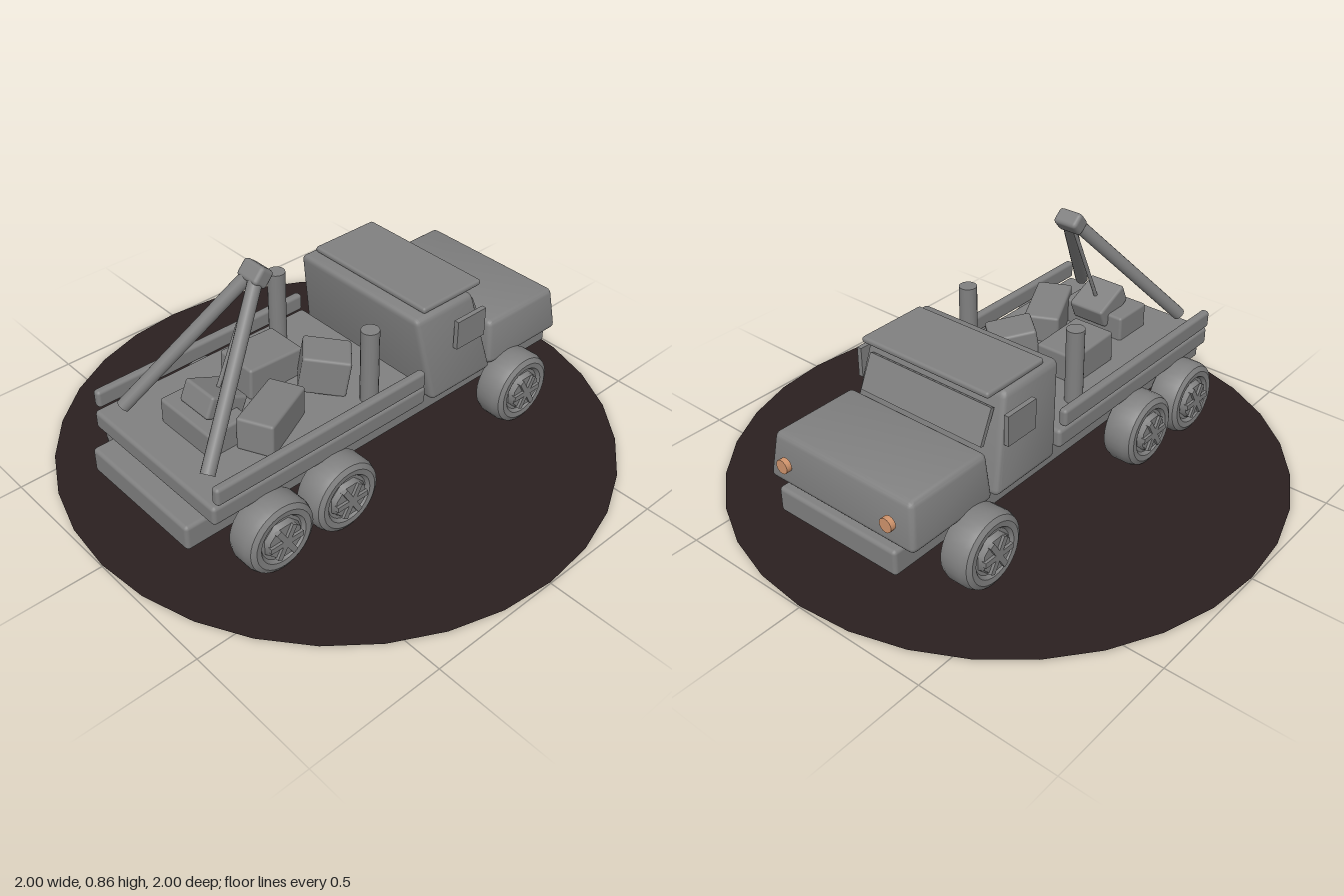
import * as THREE from 'three';
import { RoundedBoxGeometry } from 'three/addons/geometries/RoundedBoxGeometry.js';
import { mergeVertices, toCreasedNormals } from 'three/addons/utils/BufferGeometryUtils.js';

const mat = (name, color, side = THREE.FrontSide) => {
  const m = new THREE.MeshStandardMaterial({ color, side });
  m.name = name;
  return m;
};

export function createModel() {
  const model = new THREE.Group();
  model.name = 'towTruck';
  const grey = mat('bodyGrey', 0x808080);
  const dark = mat('groundDark', 0x2b2020, THREE.DoubleSide);
  const amber = mat('lampAmber', 0xd0946c);

  const add = (name, geo, material = grey, parent = model) => {
    const m = new THREE.Mesh(geo, material);
    m.name = name;
    parent.add(m);
    return m;
  };
  // rounded box from its limits on each axis
  const block = (name, [x0, x1], [y0, y1], [z0, z1], r = 0.014) => {
    const m = add(name, new RoundedBoxGeometry(x1 - x0, y1 - y0, z1 - z0, 2, r));
    m.position.set((x0 + x1) / 2, (y0 + y1) / 2, (z0 + z1) / 2);
    return m;
  };
  // rounded box whose x limits and half width change from bottom to top
  const taperedBlock = (name, y0, y1, bottom, top, r) => {
    const h = y1 - y0;
    const geo = new RoundedBoxGeometry(1 * 0.35, h, 0.62, 2, r);
    const p = geo.attributes.position;
    for (let i = 0; i < p.count; i++) {
      const t = p.getY(i) / h + 0.5;
      const mix = (k) => THREE.MathUtils.lerp(bottom[k], top[k], t);
      const u = p.getX(i) / 0.35 + 0.5;
      p.setXYZ(i, THREE.MathUtils.lerp(mix(0), mix(1), u), y0 + t * h, (p.getZ(i) / 0.31) * mix(2));
    }
    geo.deleteAttribute('normal');
    geo.deleteAttribute('uv');
    return add(name, toCreasedNormals(mergeVertices(geo, 1e-5), 0.6));
  };
  // round bar between two points
  const bar = (name, a, b, r) => {
    const from = new THREE.Vector3(...a), to = new THREE.Vector3(...b);
    const dir = to.clone().sub(from);
    const m = add(name, new THREE.CylinderGeometry(r, r, dir.length(), 16));
    m.position.copy(from).add(to).multiplyScalar(0.5);
    m.quaternion.setFromUnitVectors(new THREE.Vector3(0, 1, 0), dir.normalize());
    return m;
  };

  // ground disc
  const ground = add('groundDisc', new THREE.CircleGeometry(1, 32), dark);
  ground.rotation.x = -Math.PI / 2;
  ground.position.y = 0.006;

  // chassis, bed and side rails
  block('chassis', [-0.84, 0.83], [0.145, 0.24], [-0.255, 0.255]);
  block('bedFloor', [-0.78, 0.12], [0.255, 0.325], [-0.32, 0.32]);
  for (const s of [-1, 1]) {
    const z = s * 0.315;
    block('bedRail', [-0.77, 0.105], [0.335, 0.4], [z - 0.016, z + 0.016], 0.012);
  }

  // cab, roof, hood and glazing
  taperedBlock('cab', 0.245, 0.58, [0.15, 0.445, 0.325], [0.092, 0.36, 0.288], 0.022);
  block('roof', [0.145, 0.42], [0.577, 0.6], [-0.27, 0.27], 0.01);
  taperedBlock('hood', 0.245, 0.415, [0.448, 0.812, 0.315], [0.455, 0.79, 0.295], 0.02);
  const screen = add('windscreen', new THREE.BoxGeometry(0.016, 0.13, 0.52));
  screen.position.set(0.412, 0.47, 0);
  screen.rotation.z = 0.42;
  for (const s of [-1, 1]) {
    const pane = add('sideWindow', new THREE.BoxGeometry(0.135, 0.11, 0.018));
    pane.position.set(0.322, 0.47, s * 0.317);
    const lamp = add('headlamp', new THREE.CylinderGeometry(0.025, 0.025, 0.02, 16), amber);
    lamp.rotation.z = Math.PI / 2;
    lamp.position.set(0.822, 0.33, s * 0.225);
  }

  // wheels: lathed tyre with a recessed face, octagonal hub and spokes
  const tyreGeo = toCreasedNormals(new THREE.LatheGeometry([
    [0, -0.05], [0.08, -0.05], [0.09, -0.06], [0.11, -0.062], [0.127, -0.052], [0.135, -0.03],
    [0.135, 0.03], [0.127, 0.052], [0.11, 0.062], [0.09, 0.06], [0.08, 0.048], [0, 0.048],
  ].map(([x, y]) => new THREE.Vector2(x, y)), 32), 0.6);
  const hubGeo = new THREE.CylinderGeometry(0.066, 0.075, 0.024, 8);
  for (const x of [-0.58, -0.305, 0.545]) {
    for (const s of [-1, 1]) {
      const wheel = new THREE.Group();
      wheel.name = 'wheel';
      wheel.position.set(x, 0.135, s * 0.342);
      wheel.rotation.y = s > 0 ? 0 : Math.PI;
      model.add(wheel);
      add('tyre', tyreGeo, grey, wheel).rotation.x = Math.PI / 2;
      const hub = add('hub', hubGeo, grey, wheel);
      hub.rotation.set(Math.PI / 2, Math.PI / 8, 0);
      hub.position.z = 0.056;
      for (let i = 0; i < 3; i++) {
        const spoke = add('spoke', new THREE.BoxGeometry(0.13, 0.02, 0.016), grey, wheel);
        spoke.position.z = 0.07;
        spoke.rotation.z = (i * Math.PI) / 3;
      }
    }
  }

  // bed posts and lifting frame
  for (const s of [-1, 1]) {
    bar('bedPost', [-0.065, 0.32, s * 0.235], [-0.065, 0.6, s * 0.235], 0.032);
    bar('liftStrut', [-0.725, 0.37, s * 0.225], [-0.345, 0.815, s * 0.015], 0.024);
  }
  const head = add('liftHead', new RoundedBoxGeometry(0.065, 0.06, 0.095, 2, 0.014));
  head.position.set(-0.337, 0.818, 0);
  head.rotation.z = 0.87;
  bar('liftCable', [-0.35, 0.8, 0], [-0.51, 0.45, 0], 0.007);

  // loose cargo: centre, size, rotation about y and z
  const cargo = [
    [[-0.565, 0.365, 0], [0.16, 0.1, 0.26], 0, 0],
    [[-0.525, 0.43, 0], [0.15, 0.08, 0.145], 0, -0.42],
    [[-0.41, 0.375, 0.145], [0.25, 0.12, 0.13], 0.45, -0.06],
    [[-0.25, 0.375, -0.1], [0.225, 0.12, 0.165], 0, -0.04],
    [[-0.125, 0.4, 0.08], [0.165, 0.14, 0.14], -0.72, -0.16],
  ];
  for (const [pos, size, ry, rz] of cargo) {
    const box = add('cargoBlock', new RoundedBoxGeometry(...size, 2, 0.01));
    box.position.set(...pos);
    box.rotation.set(0, ry, rz);
  }
  return model;
}
